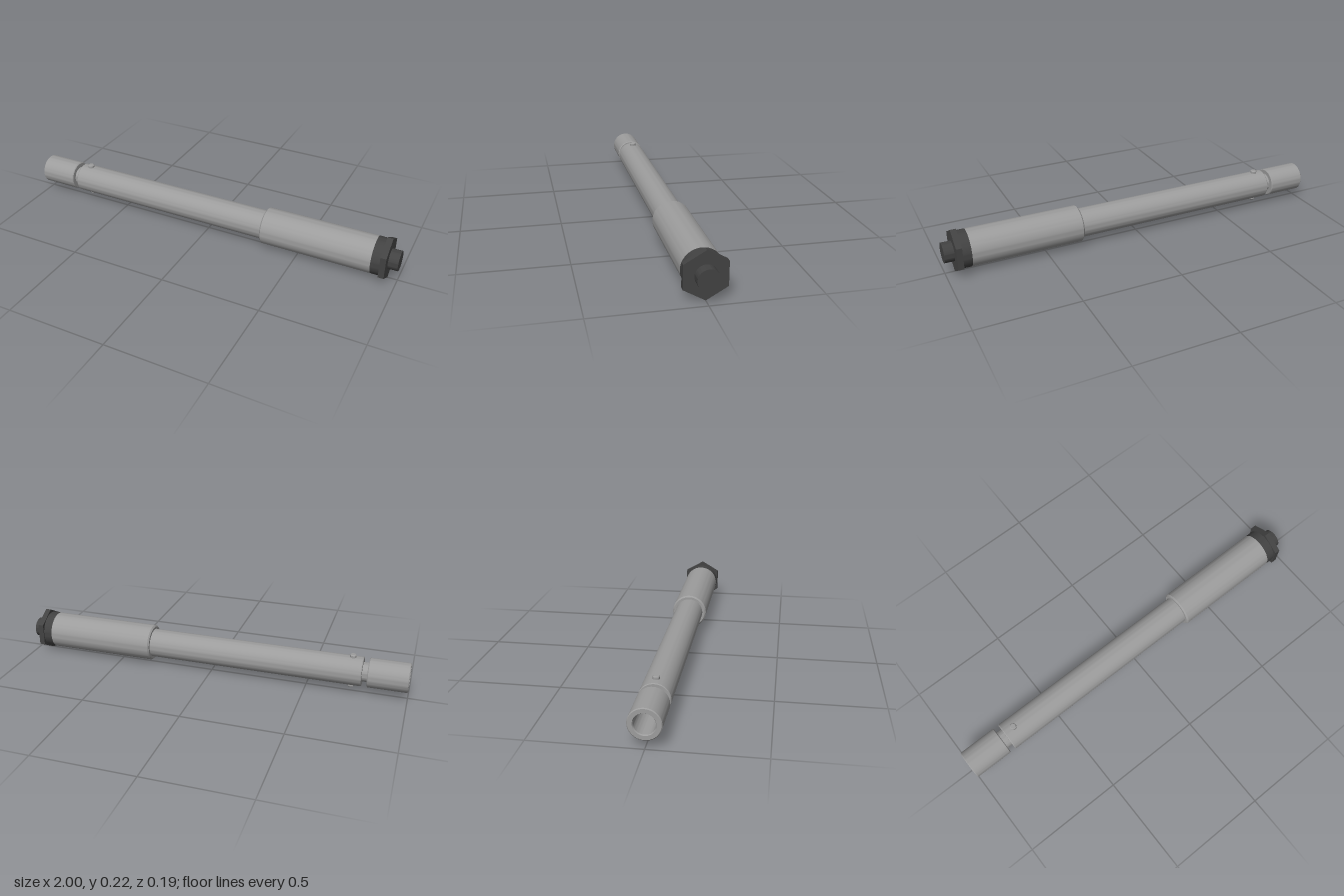
import * as THREE from 'three';
import { toCreasedNormals } from 'three/addons/utils/BufferGeometryUtils.js';

const AXIS_Y = 0.112;

export function createModel() {
  const model = new THREE.Group();
  model.name = 'torqueHandle';
  const steel = new THREE.MeshStandardMaterial({ color: 0x9c9c9c });
  steel.name = 'satin steel';
  const dark = new THREE.MeshStandardMaterial({ color: 0x424242 });
  dark.name = 'dark metal';

  // The tool lies along x; profiles are [position along axis, radius].
  const body = new THREE.Group();
  body.name = 'body';
  body.rotation.z = -Math.PI / 2;
  body.position.y = AXIS_Y;
  model.add(body);

  function turned(name, profile, material, parent = body) {
    const points = profile.map(([a, r]) => new THREE.Vector2(r, a));
    const geometry = toCreasedNormals(new THREE.LatheGeometry(points, 64), 0.5);
    const mesh = new THREE.Mesh(geometry, material);
    mesh.name = name;
    parent.add(mesh);
    return mesh;
  }

  // Bored socket end
  turned('socketEnd', [
    [-0.82, 0], [-0.82, 0.047], [-0.995, 0.047], [-1, 0.05],
    [-1, 0.069], [-0.996, 0.073], [-0.806, 0.073], [-0.802, 0.069], [-0.802, 0],
  ], steel);

  // Narrow neck between socket end and shaft
  turned('neck', [[-0.81, 0], [-0.81, 0.048], [-0.765, 0.048], [-0.765, 0]], steel);

  // Long shaft
  turned('shaft', [
    [-0.775, 0], [-0.775, 0.07], [-0.771, 0.073], [0.34, 0.073], [0.34, 0],
  ], steel);

  // Thicker grip sleeve
  turned('grip', [
    [0.318, 0], [0.318, 0.085], [0.325, 0.092], [0.88, 0.092], [0.88, 0],
  ], steel);

  // Dark collar and end knob
  turned('collar', [[0.88, 0], [0.88, 0.092], [0.926, 0.092], [0.926, 0]], dark);
  turned('knob', [[0.95, 0], [0.95, 0.0495], [1, 0.0495], [1, 0]], dark);

  // Hexagonal adjusting nut, corners up and down
  const nut = new THREE.Mesh(
    new THREE.CylinderGeometry(0.111, 0.111, 0.028, 6, 1, false, Math.PI / 2).toNonIndexed(), dark);
  nut.geometry.computeVertexNormals();
  nut.name = 'hexNut';
  nut.position.y = 0.938;
  body.add(nut);

  // Small locating pins above and below the shaft
  for (const side of [1, -1]) {
    const pin = turned(side > 0 ? 'topPin' : 'bottomPin', [
      [0.05, 0], [0.05, 0.016], [0.083, 0.016], [0.087, 0.012], [0.087, 0],
    ], steel, model);
    pin.position.set(-0.722, AXIS_Y, 0);
    if (side < 0) pin.rotation.x = Math.PI;
  }

  return model;
}
